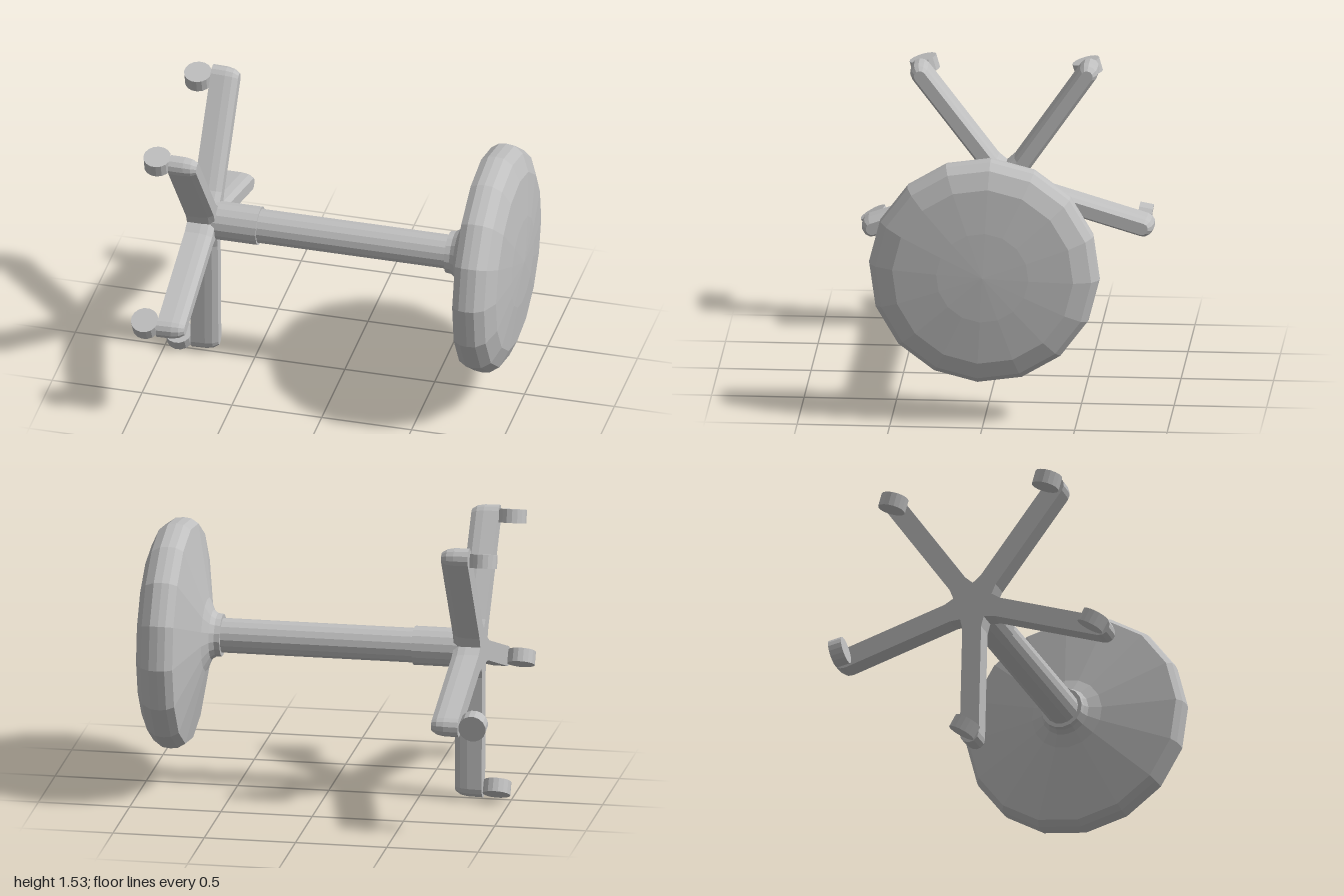
import * as THREE from 'three';

const rad = THREE.MathUtils.degToRad;

// Star-shaped cross-section: five round-ended arms with softened inner corners.
function starLoop(y, halfWidth, reach, crotch) {
  const loop = [];
  for (let k = 0; k < 5; k++) {
    const a = rad(k * 72 - 1.3);
    const add = (u, v) => loop.push([
      u * Math.cos(a) - v * Math.sin(a), y, u * Math.sin(a) + v * Math.cos(a)]);
    add(0.15, -halfWidth);
    for (let i = 0; i <= 6; i++) {
      const t = rad(-90 + i * 30);
      add(reach - halfWidth + halfWidth * Math.cos(t), halfWidth * Math.sin(t));
    }
    add(0.15, halfWidth);
    add(crotch * Math.cos(rad(36)), crotch * Math.sin(rad(36)));
  }
  return loop;
}

// Skin stacked loops and close both ends with a fan.
function loft(loops) {
  const n = loops[0].length;
  const pos = loops.flat(2);
  const index = [];
  for (let l = 0; l < loops.length - 1; l++) {
    for (let i = 0; i < n; i++) {
      const a = l * n + i, b = l * n + (i + 1) % n;
      index.push(a, a + n, b, b, a + n, b + n);
    }
  }
  const bottom = loops.length * n, top = bottom + 1, last = (loops.length - 1) * n;
  pos.push(0, loops[0][0][1], 0, 0, loops[loops.length - 1][0][1], 0);
  for (let i = 0; i < n; i++) {
    const j = (i + 1) % n;
    index.push(bottom, i, j, top, last + j, last + i);
  }
  const g = new THREE.BufferGeometry();
  g.setAttribute('position', new THREE.Float32BufferAttribute(pos, 3));
  g.setIndex(index);
  g.computeVertexNormals();
  return g;
}

export function createModel() {
  const model = new THREE.Group();
  model.name = 'stool';
  const grey = new THREE.MeshStandardMaterial({ color: 0xbfbfbf, flatShading: true });
  grey.name = 'plain grey';

  // The stool is built upright about y, then laid on its side.
  const stool = new THREE.Group();
  stool.name = 'lyingStool';
  stool.rotation.z = -Math.PI / 2;
  stool.position.y = 0.84;
  model.add(stool);

  const add = (name, geometry) => {
    const mesh = new THREE.Mesh(geometry, grey);
    mesh.name = name;
    stool.add(mesh);
    return mesh;
  };
  const lathe = (profile, segments, start = 0) => new THREE.LatheGeometry(
    profile.map(([r, y]) => new THREE.Vector2(r, y)), segments, start);

  // Seat with mounting collar, flared underside, rounded rim and shallow dome
  add('seat', lathe([
    [0, 0.58], [0.115, 0.58], [0.118, 0.61], [0.135, 0.635], [0.2, 0.665],
    [0.595, 0.75], [0.62, 0.79], [0.625, 0.83], [0.62, 0.875], [0.585, 0.925],
    [0.49, 0.967], [0.25, 0.99], [0, 1]], 16, rad(-3.2)));

  // Column and the wider sleeve around its foot
  add('column', lathe([[0, -0.48], [0.094, -0.48], [0.094, 0.59], [0, 0.59]], 16));
  add('sleeve', lathe([[0, -0.72], [0.106, -0.72], [0.106, -0.47], [0, -0.47]], 16));

  // Five-armed base, bevelled on the seat side
  add('base', loft([
    starLoop(-0.85, 0.054, 0.83, 0.115),
    starLoop(-0.77, 0.054, 0.828, 0.115),
    starLoop(-0.73, 0.048, 0.82, 0.107),
    starLoop(-0.7, 0.032, 0.8, 0.085)]));

  // Caster wheels: centre z, centre y, axle z, axle y
  const casters = [
    [-0.017, 0.068, 0.035, 0.06],
    [-0.733, 0.625, 0.08, 0.015],
    [-0.425, 1.46, 0.02, 0.07],
    [0.455, 1.457, 0.02, 0.07],
    [0.718, 0.585, 0.033, 0.06]];
  for (const [z, y, az, ay] of casters) {
    const wheel = add('casterWheel', new THREE.CylinderGeometry(0.075, 0.075, 0.075, 16));
    wheel.position.set(0.84 - y, -0.925, z);
    wheel.quaternion.setFromUnitVectors(
      new THREE.Vector3(0, 1, 0), new THREE.Vector3(-ay, 0, az).normalize());
  }
  return model;
}
